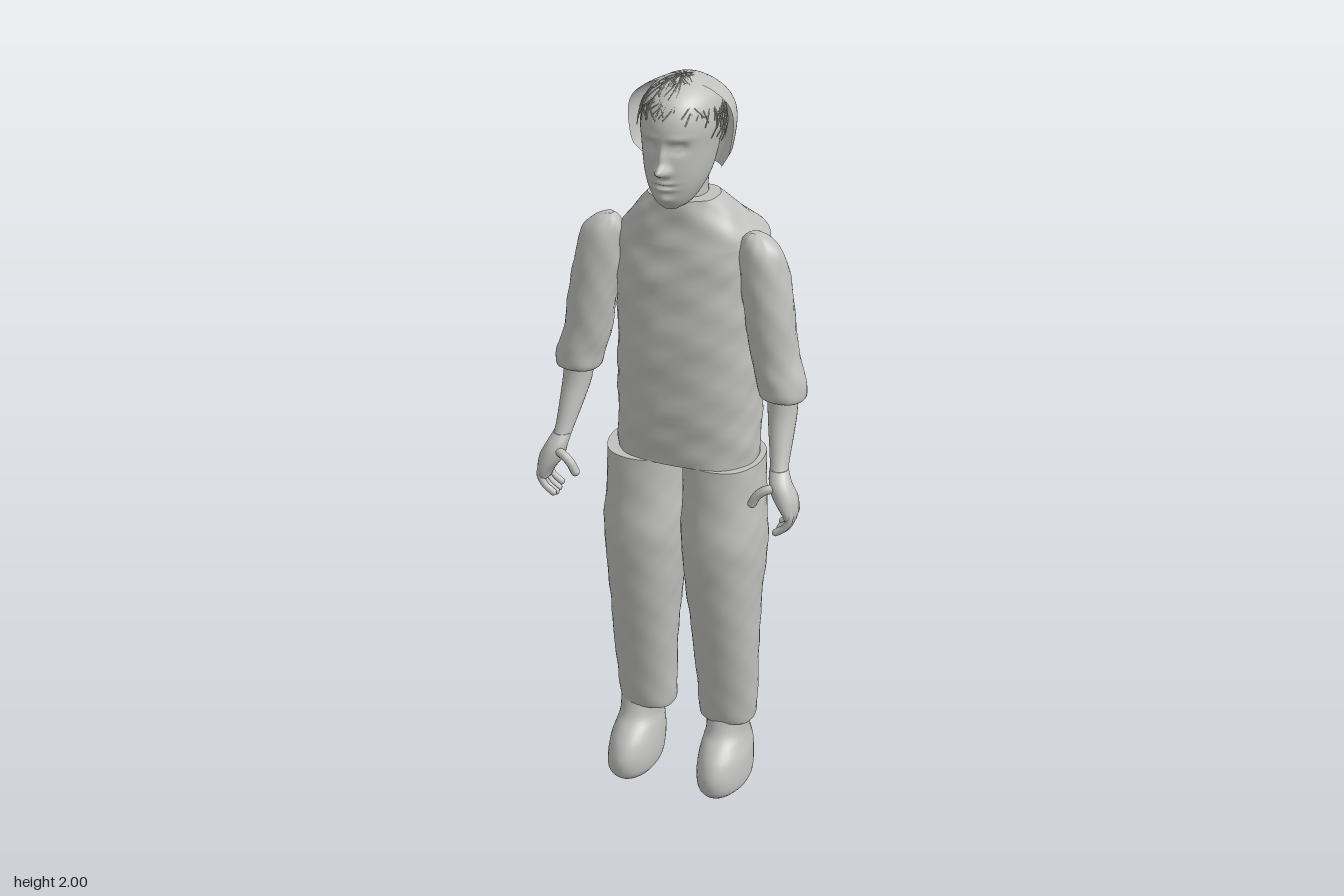
import * as THREE from 'three';
import { mergeGeometries } from 'three/addons/utils/BufferGeometryUtils.js';

const grey = new THREE.MeshStandardMaterial({ color: 0xc0c0be, side: THREE.DoubleSide });
grey.name = 'plain grey';

const bell = (d, w) => Math.exp(-(d * d) / (w * w));

// Smooth curve through rows of numbers, k steps between neighbours
function refine(rows, k) {
  const out = [];
  const at = (i) => rows[Math.min(rows.length - 1, Math.max(0, i))];
  for (let i = 0; i < rows.length - 1; i++) {
    for (let s = 0; s < k; s++) {
      const t = s / k;
      out.push(rows[i].map((b, c) => {
        const a = at(i - 1)[c], d = at(i + 1)[c], e = at(i + 2)[c];
        return b + 0.5 * t * (d - a + t * (2 * a - 5 * b + 4 * d - e + t * (3 * (b - d) + e - a)));
      }));
    }
  }
  out.push(rows[rows.length - 1]);
  return out;
}

// Skin over level cross-sections, rows are [y, xMin, xMax, zMin, zMax] from the bottom up
function loft(rows, { seg = 32, k = 4, power = 2, bump = null, open = false } = {}) {
  const rings = refine(rows, k), pos = [], idx = [];
  const cols = open ? seg + 1 : seg;
  const spread = (c) => Math.sign(c) * Math.abs(c) ** (2 / power);
  for (const [y, x0, x1, z0, z1] of rings) {
    for (let i = 0; i < cols; i++) {
      const a = open ? Math.PI + Math.PI * i / seg : 2 * Math.PI * i / seg;
      const p = new THREE.Vector3((x0 + x1) / 2 + (x1 - x0) / 2 * spread(Math.cos(a)), y,
        open ? z1 + (z1 - z0) * spread(Math.sin(a)) : (z0 + z1) / 2 + (z1 - z0) / 2 * spread(Math.sin(a)));
      if (bump) bump(p, a);
      pos.push(p.x, p.y, p.z);
    }
  }
  for (let j = 0; j < rings.length - 1; j++) {
    for (let i = 0; i < seg; i++) {
      const a = j * cols + i, b = j * cols + (i + 1) % cols;
      idx.push(a, a + cols, b, b, a + cols, b + cols);
    }
  }
  // end caps with their own corners, so that the rims stay sharp
  if (!open) for (const j of [0, rings.length - 1]) {
    const start = pos.length / 3;
    const [y, x0, x1, z0, z1] = rings[j];
    for (let i = 0; i < seg * 3; i++) if (i < seg * 3) pos.push(pos[j * seg * 3 + i]);
    pos.push((x0 + x1) / 2, y, (z0 + z1) / 2);
    for (let i = 0; i < seg; i++) {
      const a = start + i, b = start + (i + 1) % seg;
      idx.push(start + seg, j ? b : a, j ? a : b);
    }
  }
  const g = new THREE.BufferGeometry();
  g.setAttribute('position', new THREE.Float32BufferAttribute(pos, 3));
  g.setIndex(idx);
  g.computeVertexNormals();
  return g;
}

// Rows for the left side (s = 1), or mirrored for the right (s = -1)
const onSide = (rows, s) => rows.map(([y, a, b, c, d]) => (s > 0 ? [y, a, b, c, d] : [y, -b, -a, c, d]));

// Cloth creases
const creases = (size) => (p, a) => {
  const w = size * (Math.sin(31 * p.y + 3 * a) + Math.sin(57 * p.y - 5 * a + 1) + 0.7 * Math.sin(83 * p.y + 9 * a));
  p.x += w * Math.cos(a);
  p.z += w * Math.sin(a);
};

// Nose, eyes, brow, lips and chin pushed out of the front of the head
function face(p) {
  if (p.z < 0.05) return;
  const x = Math.abs(p.x), { y } = p;
  p.z += 0.034 * bell(x, 0.014) * bell(y - 1.798, 0.014) + 0.016 * bell(x, 0.011) * bell(y - 1.828, 0.026)
    + 0.009 * bell(x - 0.015, 0.008) * bell(y - 1.793, 0.009)
    - 0.014 * bell(x - 0.037, 0.019) * bell(y - 1.853, 0.014) + 0.007 * bell(x - 0.037, 0.01) * bell(y - 1.851, 0.006)
    + 0.005 * bell(x - 0.037, 0.025) * bell(y - 1.877, 0.008)
    + 0.008 * bell(x, 0.026) * (bell(y - 1.765, 0.006) + bell(y - 1.748, 0.006))
    - 0.004 * bell(x, 0.026) * bell(y - 1.7565, 0.003) + 0.01 * bell(x, 0.022) * bell(y - 1.72, 0.013);
}

// Loose strands lying over the scalp
function strands() {
  let seed = 7;
  const rnd = () => (seed = (seed * 16807) % 2147483647) / 2147483647;
  const parts = [];
  for (let n = 0; n < 210; n++) {
    const az = rnd() * Math.PI * 2, drift = (rnd() - 0.5) * 1.6;
    const limit = 1.6 - 0.45 * Math.sin(az);
    const from = rnd() * limit * 0.75, to = Math.min(limit, from + 0.3 + rnd() * 0.6);
    const r = 1 + rnd() * 0.025, pts = [];
    for (let i = 0; i <= 3; i++) {
      const p = from + (to - from) * i / 3, a = az + drift * i / 3;
      pts.push(new THREE.Vector3(0.104 * r * Math.sin(p) * Math.cos(a), 1.88 + 0.116 * r * Math.cos(p),
        0.025 + 0.138 * r * Math.sin(p) * Math.sin(a)));
    }
    parts.push(new THREE.TubeGeometry(new THREE.CatmullRomCurve3(pts), 6, 0.0016, 3));
  }
  return mergeGeometries(parts);
}

// Finger with a rounded tip
function finger(points, r, s) {
  const pts = points.map(([x, y, z]) => new THREE.Vector3(s * x, y, z));
  const tip = pts[pts.length - 1];
  return mergeGeometries([
    new THREE.TubeGeometry(new THREE.CatmullRomCurve3(pts), 10, r, 10),
    new THREE.SphereGeometry(r, 10, 8).translate(tip.x, tip.y, tip.z),
  ]);
}

export function createModel() {
  const model = new THREE.Group();
  model.name = 'standingFigure';
  const add = (name, geometry) => {
    const m = new THREE.Mesh(geometry, grey);
    m.name = name;
    model.add(m);
  };

  // Shirt
  add('shirt', loft([
    [0.98, -0.18, 0.195, -0.13, 0.115], [1.1, -0.18, 0.195, -0.145, 0.125], [1.3, -0.18, 0.195, -0.17, 0.13],
    [1.48, -0.183, 0.195, -0.19, 0.12], [1.56, -0.182, 0.198, -0.197, 0.11], [1.585, -0.175, 0.19, -0.19, 0.108],
    [1.62, -0.15, 0.163, -0.145, 0.105], [1.66, -0.12, 0.13, -0.1, 0.102], [1.7, -0.085, 0.095, -0.05, 0.098],
  ], { seg: 64, k: 8, power: 2.4, bump: creases(0.0015) }));

  // Neck and head
  add('neck', loft([[1.66, -0.06, 0.066, -0.055, 0.08], [1.72, -0.055, 0.06, -0.05, 0.075],
    [1.79, -0.06, 0.064, -0.07, 0.07]]));
  add('head', loft([
    [1.688, -0.018, 0.022, 0.085, 0.125], [1.705, -0.044, 0.048, 0.03, 0.14], [1.74, -0.066, 0.07, -0.02, 0.152],
    [1.78, -0.08, 0.084, -0.06, 0.158], [1.84, -0.09, 0.094, -0.088, 0.158], [1.9, -0.095, 0.1, -0.105, 0.16],
    [1.95, -0.085, 0.09, -0.095, 0.138], [1.98, -0.058, 0.062, -0.06, 0.1], [1.995, -0.025, 0.029, -0.02, 0.05],
  ], { seg: 112, k: 10, bump: face }));

  // Hair
  add('hairShell', loft([
    [1.76, -0.085, 0.09, -0.06, 0.0], [1.8, -0.112, 0.118, -0.085, 0.035], [1.83, -0.126, 0.131, -0.098, 0.045],
    [1.9, -0.134, 0.139, -0.11, 0.045], [1.945, -0.118, 0.123, -0.1, 0.045], [1.975, -0.075, 0.08, -0.07, 0.045],
    [1.99, -0.03, 0.034, -0.02, 0.045],
  ], { seg: 40, k: 5, open: true }));
  add('hairStrands', strands());

  for (const s of [1, -1]) {
    const side = s > 0 ? 'left' : 'right';

    // Trouser legs and shoes
    const lean = (y) => (0.98 - y) * 0.012;
    add(side + 'TrouserLeg', loft(onSide([
      [0.19, 0.045, 0.185, -0.05, 0.06], [0.205, 0.038, 0.193, -0.06, 0.07], [0.3, 0.034, 0.2, -0.06, 0.082],
      [0.45, 0.025, 0.205, -0.068, 0.103], [0.58, 0.012, 0.21, -0.09, 0.12], [0.7, 0, 0.219, -0.115, 0.13],
      [0.77, -0.003, 0.22, -0.12, 0.132], [0.86, 0, 0.213, -0.125, 0.122], [0.98, 0, 0.21, -0.13, 0.115],
    ].map(([y, a, b, c, d]) => [y, a + s * lean(y), b + s * lean(y), c, d]), s),
    { seg: 40, k: 6, power: 2.2, bump: creases(0.0007) }));
    add(side + 'Shoe', loft(onSide([
      [0, 0.075, 0.185, -0.055, 0.145], [0.02, 0.063, 0.2, -0.078, 0.162], [0.06, 0.06, 0.2, -0.092, 0.165],
      [0.1, 0.062, 0.196, -0.092, 0.148], [0.13, 0.066, 0.188, -0.084, 0.12], [0.16, 0.07, 0.183, -0.07, 0.085],
      [0.21, 0.065, 0.185, -0.055, 0.062],
    ], s)));

    // Sleeve and forearm
    add(side + 'Sleeve', loft(onSide([
      [1.188, 0.232, 0.325, 0.005, 0.08], [1.2, 0.217, 0.338, -0.014, 0.1], [1.24, 0.208, 0.335, -0.02, 0.1],
      [1.3, 0.19, 0.316, -0.016, 0.096], [1.4, 0.175, 0.302, -0.025, 0.096], [1.5, 0.157, 0.285, -0.03, 0.09],
      [1.57, 0.155, 0.266, -0.015, 0.08], [1.605, 0.165, 0.235, 0, 0.063], [1.62, 0.182, 0.207, 0.018, 0.045],
    ], s), { k: 6, bump: creases(0.001) }));
    add(side + 'Forearm', loft(onSide([
      [1, 0.278, 0.325, 0.11, 0.16], [1.04, 0.27, 0.318, 0.083, 0.138], [1.1, 0.255, 0.318, 0.045, 0.112],
      [1.16, 0.242, 0.318, 0.013, 0.09], [1.23, 0.235, 0.315, 0, 0.08],
    ], s), { seg: 24 }));

    // Hand with half-curled fingers
    add(side + 'Palm', loft(onSide([
      [0.905, 0.325, 0.35, 0.11, 0.172], [0.93, 0.312, 0.355, 0.1, 0.18], [0.965, 0.288, 0.352, 0.1, 0.178],
      [1, 0.277, 0.335, 0.106, 0.168], [1.03, 0.272, 0.32, 0.093, 0.145],
    ], s), { seg: 24 }));
    for (let f = 0; f < 4; f++) {
      const z = 0.113 + f * 0.018, drop = [0.012, 0.003, 0, 0.006][f];
      add(side + 'Finger' + (f + 1), finger([[0.338, 0.94, z], [0.342, 0.91 + drop, z],
        [0.329, 0.884 + drop, z], [0.306, 0.866 + drop, z]], 0.0095, s));
    }
    add(side + 'Thumb', finger([[0.305, 0.99, 0.15], [0.275, 0.985, 0.165], [0.254, 0.967, 0.168],
      [0.242, 0.944, 0.168]], 0.012, s));
  }
  return model;
}
